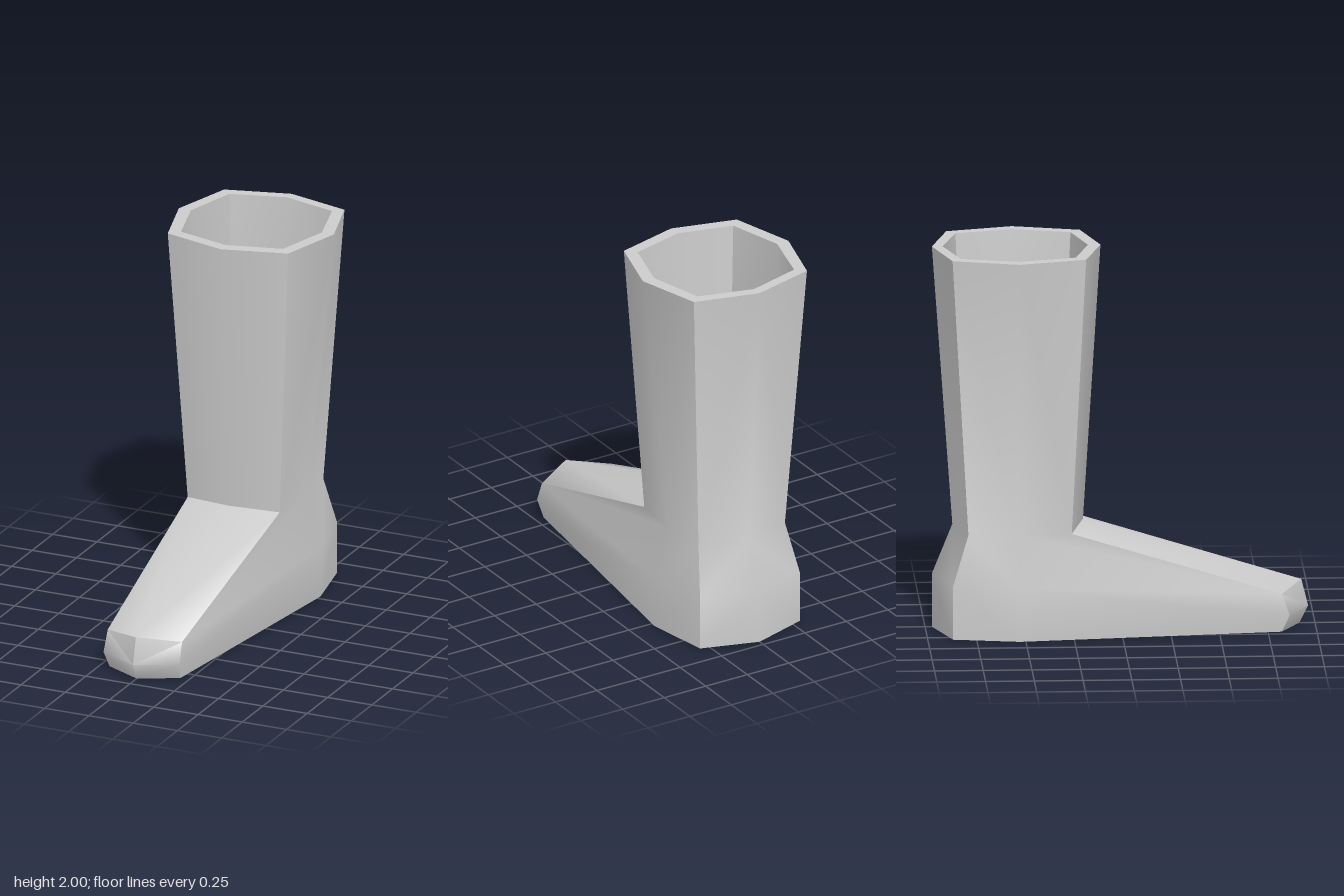
import * as THREE from 'three';
import { toCreasedNormals } from 'three/addons/utils/BufferGeometryUtils.js';

// Half of an eight-sided ring as [x, y, z]: front, front corner, side, back corner, back.
// The corners and side are mirrored to -x.
function ring(half) {
  const mirrored = [3, 2, 1].map((i) => [-half[i][0], half[i][1], half[i][2]]);
  return [...half, ...mirrored];
}

// Skins a stack of rings and closes both ends with flat caps.
function skin(rings) {
  const pos = [];
  const n = rings[0].length;
  const same = (p, q) => p.every((v, i) => Math.abs(v - q[i]) < 1e-6);
  const tri = (a, b, c) => {
    if (!same(a, b) && !same(b, c) && !same(a, c)) pos.push(...a, ...b, ...c);
  };
  for (let i = 0; i < rings.length - 1; i++) {
    for (let j = 0; j < n; j++) {
      const k = (j + 1) % n;
      const a = rings[i][j], b = rings[i][k], c = rings[i + 1][k], d = rings[i + 1][j];
      // diagonals mirror across the centre line
      if (j < n / 2) { tri(a, b, c); tri(a, c, d); }
      else { tri(a, b, d); tri(b, c, d); }
    }
  }
  const first = rings[0], last = rings[rings.length - 1];
  for (let j = 1; j < n - 1; j++) {
    tri(first[0], first[j + 1], first[j]);
    tri(last[0], last[j], last[j + 1]);
  }
  const g = new THREE.BufferGeometry();
  g.setAttribute('position', new THREE.Float32BufferAttribute(pos, 3));
  return toCreasedNormals(g, 0.87);
}

export function createModel() {
  const group = new THREE.Group();
  group.name = 'boot';

  // Outside, from the sole up to the rim
  const heel = [[0.38, 0.28, -0.53], [0.3, 0.28, -0.87], [0, 0.28, -0.965]];
  const outer = [
    // sole
    [[0, 0, 0.92], [0.2, 0, 0.82], [0.365, 0, -0.53], [0.3, 0, -0.87], [0, 0, -0.965]],
    // widest part of the toe and heel
    [[0, 0.09, 0.965], [0.215, 0.09, 0.86], ...heel],
    // top of the toe, sharing the heel points
    [[0, 0.23, 0.93], [0.21, 0.2, 0.82], ...heel],
    // ankle
    [[0, 0.56, -0.19], [0.26, 0.54, -0.26], [0.28, 0.54, -0.53], [0.26, 0.54, -0.79], [0, 0.54, -0.86]],
    // rim
    [[0, 2, -0.1], [0.34, 2, -0.19], [0.438, 2, -0.535], [0.34, 2, -0.875], [0, 2, -0.965]],
  ];

  // Lining, from the rim down to the insole
  const innerHeel = [[0.315, 0.27, -0.53], [0.25, 0.27, -0.81], [0, 0.27, -0.9]];
  const inner = [
    [[0, 2, -0.165], [0.288, 2, -0.24], [0.37, 2, -0.535], [0.29, 2, -0.83], [0, 2, -0.91]],
    [[0, 0.51, -0.24], [0.22, 0.5, -0.305], [0.245, 0.52, -0.53], [0.225, 0.52, -0.77], [0, 0.52, -0.83]],
    [[0, 0.18, 0.87], [0.165, 0.16, 0.77], ...innerHeel],
    [[0, 0.09, 0.89], [0.17, 0.09, 0.79], ...innerHeel],
    [[0, 0.06, 0.87], [0.16, 0.06, 0.77], [0.305, 0.06, -0.53], [0.25, 0.06, -0.81], [0, 0.06, -0.9]],
  ];

  const material = new THREE.MeshStandardMaterial({ color: 0xcccccc });
  const shell = new THREE.Mesh(skin([...outer, ...inner].map(ring)), material);
  shell.name = 'bootShell';
  group.add(shell);
  return group;
}
